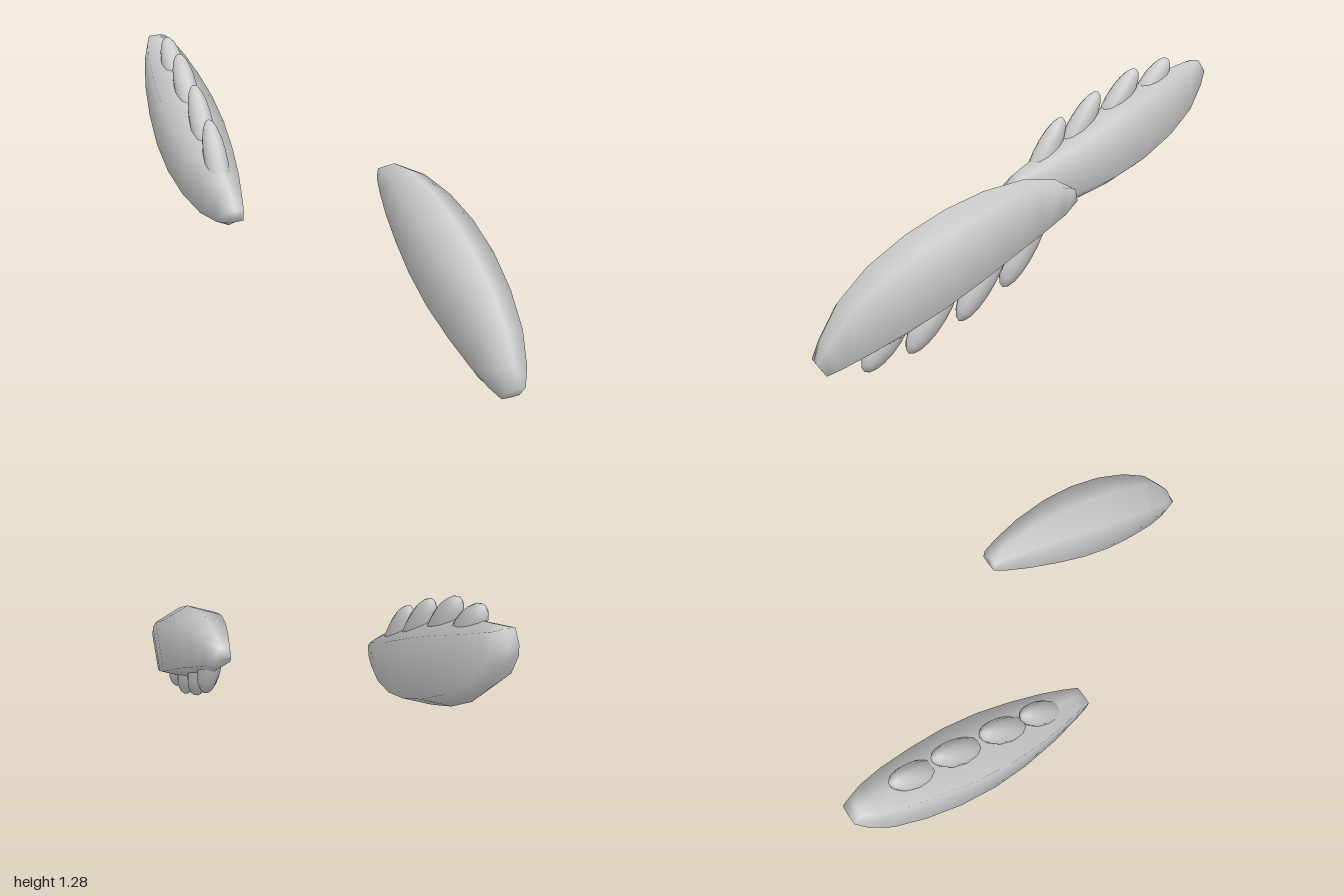
import * as THREE from 'three';

const material = new THREE.MeshStandardMaterial({ color: 0xcccccc });
const YAW = 0.566;
const COS = Math.cos(YAW);

// Stations of the body: top z, top y, bottom z, bottom y, half width
const STATIONS = [
  [-0.205, 0.73, -0.215, 0.67, 0.045],
  [-0.14, 0.768, -0.16, 0.59, 0.062],
  [-0.01, 0.778, -0.07, 0.515, 0.092],
  [0.15, 0.738, 0.06, 0.42, 0.122],
  [0.30, 0.67, 0.19, 0.32, 0.138],
  [0.45, 0.575, 0.33, 0.22, 0.138],
  [0.59, 0.455, 0.47, 0.135, 0.122],
  [0.70, 0.315, 0.60, 0.07, 0.1],
  [0.765, 0.17, 0.69, 0.033, 0.073],
  [0.788, 0.08, 0.75, 0.018, 0.045],
];

// Six-sided sections lofted along the length, with both ends closed
function bodyGeometry() {
  const pos = [], index = [], n = 6;
  const last = STATIONS.length - 1;
  STATIONS.forEach(([tz, ty, bz, by, w], k) => {
    const f = k === 0 || k === last ? 0.06 : 0.15;
    const section = [[0, 0], [-w, f], [-w, 1 - f], [0, 1], [w, 1 - f], [w, f]];
    for (const [x, t] of section) {
      pos.push(x, ty + (by - ty) * t, (tz + (bz - tz) * t) / COS);
    }
  });
  for (let k = 0; k < last; k++) {
    for (let i = 0; i < n; i++) {
      const j = (i + 1) % n;
      const a = k * n + i, b = k * n + j;
      index.push(a, b, a + n, b, b + n, a + n);
    }
  }
  for (let i = 1; i < n - 1; i++) {
    const e = last * n;
    index.push(0, i + 1, i, e, e + i, e + i + 1);
  }
  const g = new THREE.BufferGeometry();
  g.setAttribute('position', new THREE.Float32BufferAttribute(pos, 3));
  g.setIndex(index);
  g.computeVertexNormals();
  return g;
}

// Toes: centre z, lowest y, half length, tilt in degrees
const TOES = [
  [-0.015, 0.305, 0.23, 28],
  [0.155, 0.175, 0.22, 31],
  [0.35, 0.058, 0.2, 34],
  [0.52, 0.002, 0.18, 36],
];

function makeFoot(name) {
  const foot = new THREE.Group();
  foot.name = name;
  const body = new THREE.Mesh(bodyGeometry(), material);
  body.name = 'footBody';
  foot.add(body);
  TOES.forEach(([z, low, length, degrees], i) => {
    const thick = 0.066, tilt = THREE.MathUtils.degToRad(degrees);
    const toe = new THREE.Mesh(new THREE.SphereGeometry(1, 12, 10), material);
    toe.name = 'toe' + (i + 1);
    toe.scale.set(0.058, length, thick);
    toe.rotation.x = -tilt;
    const rise = Math.hypot(length * Math.cos(tilt), thick * Math.sin(tilt));
    toe.position.set(0, low + rise, z / COS);
    foot.add(toe);
  });
  return foot;
}

export function createModel() {
  const model = new THREE.Group();
  model.name = 'feet';

  const left = makeFoot('leftFoot');
  left.rotation.y = YAW;
  left.position.x = 0.47;

  // The right foot is the left one turned over, toes up
  const right = makeFoot('rightFoot');
  right.rotation.set(Math.PI, YAW, 0, 'YXZ');
  right.position.set(-0.47, 1.28, 0);

  model.add(left, right);
  return model;
}
